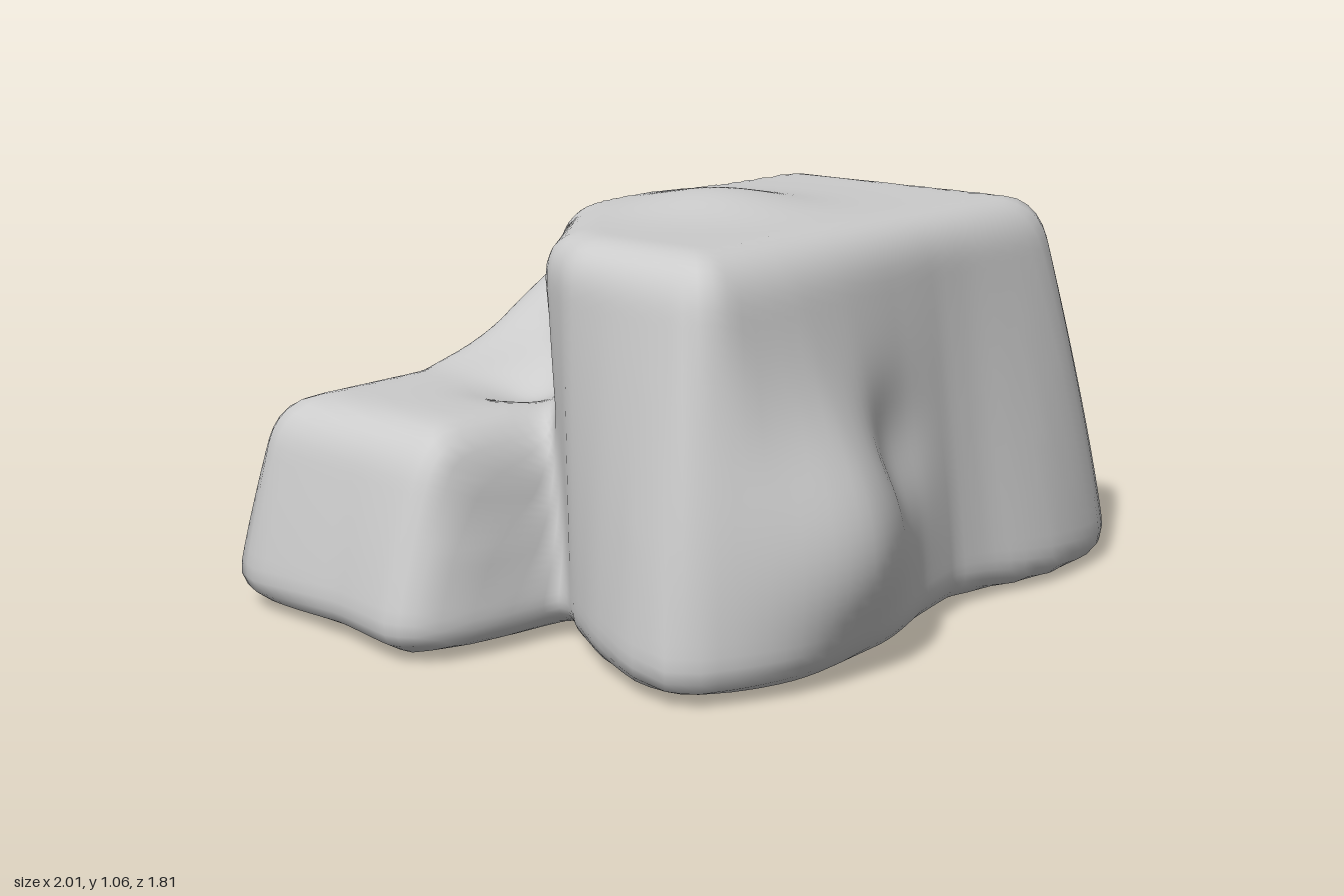
import * as THREE from 'three';
import { mergeVertices } from 'three/addons/utils/BufferGeometryUtils.js';

const clamp = THREE.MathUtils.clamp;

// A lump: a curved foot outline [x, z] that tapers into a rounded box at its top;
// topAt gives the height of the top surface
function makeLump(height, round, [minX, maxX, minZ, maxZ], foot, topAt = () => height) {
  const curve = new THREE.CatmullRomCurve3(foot.map(([x, z]) => new THREE.Vector3(x, 0, z)), true);
  const outline = curve.getPoints(foot.length * 3).slice(0, -1).map(({ x, z }) => ({
    x, z,
    dx: clamp(x, minX + round, maxX - round) - x,
    dz: clamp(z, minZ + round, maxZ - round) - z,
  }));
  return { height, round, outline, topAt };
}

// the tall block slopes down behind, the middle step slopes down sideways
const tallBlock = makeLump(1.02, 0.06, [-0.65, 0.78, -0.45, 0.63], [
  [-0.84, 0.66], [-0.6, 0.82], [-0.36, 0.87], [0.24, 0.74], [0.6, 0.82], [0.95, 0.76],
  [1, 0.62], [0.97, 0.05], [0.88, -0.2], [0.7, -0.42], [0.3, -0.46], [0, -0.36],
  [-0.28, -0.1], [-0.65, 0.2]], (x, z) => 1.02 - 0.9 * Math.max(0, -0.15 - z));
const middleStep = makeLump(0.8, 0.12, [-0.4, 0.82, -0.66, 0.1], [
  [0.89, -0.2], [0.91, -0.42], [0.75, -0.67], [0.5, -0.75], [0.22, -0.7],
  [-0.06, -0.61], [-0.35, -0.5], [-0.3, -0.15], [0.7, 0.1]],
  (x) => 0.8 - 0.5 * Math.max(0, 0.2 - x));
const cornerBlock = makeLump(0.56, 0.08, [-0.87, 0.2, -0.66, 0], [
  [-1.02, 0], [-0.99, -0.3], [-0.93, -0.74], [-0.68, -0.69], [-0.05, -0.59],
  [0.2, -0.3], [0.1, 0.1], [-0.62, 0.12]]);
const rearBulge = makeLump(0.6, 0.12, [0.23, 0.7, -0.78, -0.4], [
  [0.72, -0.6], [0.7, -0.82], [0.48, -0.92], [0.22, -0.79], [0.25, -0.5]]);
const rearFoot = makeLump(0.46, 0.12, [-0.58, -0.14, -0.72, -0.4], [
  [-0.08, -0.6], [-0.3, -0.82], [-0.52, -0.83], [-0.61, -0.66], [-0.4, -0.45]]);
const LUMPS = [tallBlock, middleStep, cornerBlock, rearBulge, rearFoot];

// Soft swellings (+) and dents (-): x, y, z, radius, amount
const SWELLS = [
  [0, 1.02, 0.12, 0.22, 0.05], [-0.36, 0.34, 0.87, 0.28, 0.11],
  [-0.05, 0.5, 0.75, 0.14, -0.04], [-0.37, 0.55, -0.22, 0.12, -0.04],
  [0.88, 0.35, -0.2, 0.16, -0.03], [-0.36, 0, 0.88, 0.2, -0.06],
  [0.5, 0.8, -0.54, 0.2, 0.025],
];

const smoothMin = (a, b, k) => {
  const h = Math.max(k - Math.abs(a - b), 0) / k;
  return Math.min(a, b) - h * h * k * 0.25;
};
const smoothMax = (a, b, k) => -smoothMin(-a, -b, k);

// Signed distance to a lump's outline at this height, capped on top
function lumpDistance({ height, round, outline, topAt }, x, y, z) {
  const t = Math.pow(clamp(y / height, 0, 1), 1.2);
  const last = outline[outline.length - 1];
  let px = last.x + last.dx * t, pz = last.z + last.dz * t;
  let best = Infinity, inside = false;
  for (const p of outline) {
    const qx = p.x + p.dx * t, qz = p.z + p.dz * t;
    const ex = qx - px, ez = qz - pz, wx = x - px, wz = z - pz;
    const s = clamp((wx * ex + wz * ez) / (ex * ex + ez * ez + 1e-12), 0, 1);
    best = Math.min(best, (wx - ex * s) ** 2 + (wz - ez * s) ** 2);
    if ((pz > z) !== (qz > z) && x < px + (ex * (z - pz)) / ez) inside = !inside;
    px = qx;
    pz = qz;
  }
  const side = Math.sqrt(best) * (inside ? -1 : 1) - round * t;
  return smoothMax(side, y - topAt(x, z), 0.13);
}

// Whole rock: blended lumps, swellings, and a flat, slightly tilted underside
function rockDistance(x, y, z) {
  let d = 10;
  for (const lump of LUMPS) d = smoothMin(d, lumpDistance(lump, x, y, z), 0.09);
  for (const [cx, cy, cz, r, amount] of SWELLS) {
    const q = ((x - cx) ** 2 + (y - cy) ** 2 + (z - cz) ** 2) / (r * r);
    d -= amount * Math.exp(-q);
  }
  return smoothMax(d, 0.012 - 0.01 * x - y, 0.1);
}

export function createModel() {
  const group = new THREE.Group();
  group.name = 'rock';

  // Shrink-wrap a sphere onto the rock along rays from its centre
  let geometry = new THREE.SphereGeometry(1, 160, 110);
  geometry.deleteAttribute('uv');
  geometry.deleteAttribute('normal');
  geometry = mergeVertices(geometry, 1e-5);
  const pos = geometry.attributes.position;
  const centreY = 0.25;
  const dir = new THREE.Vector3();
  for (let i = 0; i < pos.count; i++) {
    dir.fromBufferAttribute(pos, i).normalize();
    const at = (r) => rockDistance(dir.x * r, centreY + dir.y * r, dir.z * r);
    let outer = 1.4;
    while (outer > 0.1 && at(outer - 0.04) > 0) outer -= 0.04;
    let inner = outer - 0.04;
    for (let n = 0; n < 9; n++) {
      const mid = (inner + outer) / 2;
      if (at(mid) > 0) outer = mid;
      else inner = mid;
    }
    pos.setXYZ(i, dir.x * inner, centreY + dir.y * inner, dir.z * inner);
  }
  geometry.computeVertexNormals();

  const body = new THREE.Mesh(geometry, new THREE.MeshStandardMaterial({ color: 0xcccccc }));
  body.name = 'rockBody';
  group.add(body);
  return group;
}
